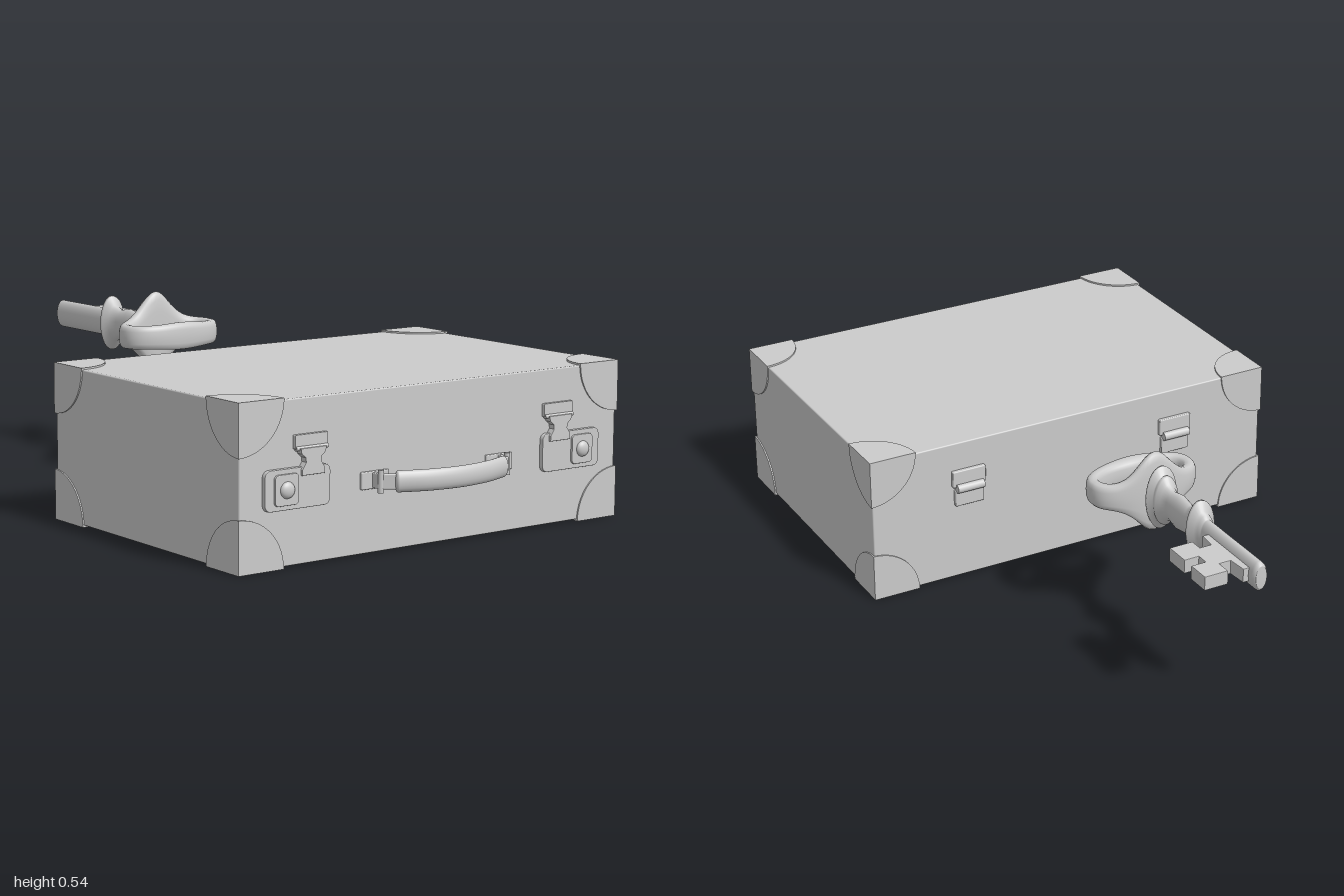
import * as THREE from 'three';
import { RoundedBoxGeometry } from 'three/addons/geometries/RoundedBoxGeometry.js';

const mat = new THREE.MeshStandardMaterial({ color: 0xcccccc });

function add(parent, name, geo, x = 0, y = 0, z = 0) {
  const m = new THREE.Mesh(geo, mat);
  m.name = name;
  m.position.set(x, y, z);
  parent.add(m);
  return m;
}

function group(parent, name) {
  const g = new THREE.Group();
  g.name = name;
  parent.add(g);
  return g;
}

const box = (w, h, d, r = 0.003) => new RoundedBoxGeometry(w, h, d, 2, r);

function polygon(pts) {
  return new THREE.Shape(pts.map(([x, y]) => new THREE.Vector2(x, y)));
}

function plate(shape, depth) {
  return new THREE.ExtrudeGeometry(shape, {
    depth, curveSegments: 12, bevelEnabled: true, bevelThickness: 0.002, bevelSize: 0.002, bevelSegments: 2, bevelOffset: -0.002,
  });
}

function roundedRect(w, h, r) {
  const s = new THREE.Shape(), x = w / 2 - r, y = h / 2 - r;
  s.absarc(x, y, r, 0, Math.PI / 2);
  s.absarc(-x, y, r, Math.PI / 2, Math.PI);
  s.absarc(-x, -y, r, Math.PI, Math.PI * 1.5);
  s.absarc(x, -y, r, Math.PI * 1.5, Math.PI * 2);
  return s;
}

// Quarter disc filling the quadrant given by two signs
function quarterDisc(sa, sb, r, depth) {
  const pts = [[0, 0]];
  for (let i = 0; i <= 14; i++) {
    const t = (i / 14) * Math.PI / 2;
    pts.push([sa * r * Math.cos(t), sb * r * Math.sin(t)]);
  }
  const g = new THREE.ExtrudeGeometry(polygon(pts), { depth, bevelEnabled: false });
  return g.translate(0, 0, -depth / 2);
}

// Case and its eight corner guards
function buildCase(root) {
  const g = group(root, 'case');
  const cy = 0.2175, cz = 0.4545;
  add(g, 'caseBody', box(1.272, 0.425, 0.851, 0.004), 0, cy, cz);
  const hx = 0.64, hy = 0.2175, hz = 0.4295, r = 0.14, d = 0.01;
  for (const sx of [-1, 1]) for (const sy of [-1, 1]) for (const sz of [-1, 1]) {
    const c = group(g, 'cornerGuard');
    c.position.set(sx * hx, cy + sy * hy, cz + sz * hz);
    add(c, 'guardFront', quarterDisc(-sx, -sy, r, d), 0, 0, -sz * d / 2);
    add(c, 'guardSide', quarterDisc(sz, -sy, r, d).rotateY(Math.PI / 2), -sx * d / 2, 0, 0);
    add(c, 'guardFlat', quarterDisc(-sx, -sz, r, d).rotateX(Math.PI / 2), 0, -sy * d / 2, 0);
  }
}

// Latch with push button and hasp; s is the side
function buildLatch(root, s) {
  const g = group(root, 'latch');
  add(g, 'latchPlate', plate(roundedRect(0.205, 0.105, 0.018), 0.012), s * 0.4625, 0.204, 0.878);
  add(g, 'latchInset', plate(roundedRect(0.075, 0.08, 0.012), 0.008), s * 0.5, 0.204, 0.888);
  const button = new THREE.SphereGeometry(0.022, 24, 10, 0, Math.PI * 2, 0, Math.PI / 2).rotateX(Math.PI / 2).scale(1, 1, 0.6);
  add(g, 'latchButton', button, s * 0.5, 0.204, 0.897);
  add(g, 'haspPlate', plate(roundedRect(0.104, 0.036, 0.003), 0.01), s * 0.418, 0.32, 0.878);
  const half = [[0.041, 0.304], [0.038, 0.29], [0.026, 0.28], [0.024, 0.268], [0.036, 0.25], [0.036, 0.235]];
  const neck = polygon([...half, ...half.map(([x, y]) => [-x, y]).reverse()]);
  add(g, 'haspNeck', plate(neck, 0.018), s * 0.418, 0, 0.879);
  const knuckle = new THREE.CylinderGeometry(0.006, 0.006, 0.1, 12).rotateZ(Math.PI / 2);
  add(g, 'haspKnuckle', knuckle, s * 0.418, 0.303, 0.889);
}

// Curved carrying handle with its mounts
function buildHandle(root) {
  const g = group(root, 'handle'), y = 0.196;
  const path = new THREE.CatmullRomCurve3([[-0.178, 0.938], [-0.1, 0.966], [0, 0.979], [0.1, 0.966], [0.178, 0.938]]
    .map(([x, z]) => new THREE.Vector3(x, 0, z)));
  add(g, 'handleGrip', new THREE.TubeGeometry(path, 40, 0.015, 20).scale(1, 1.9, 1), 0, y, 0);
  for (const s of [-1, 1]) {
    const cap = new THREE.SphereGeometry(0.015, 20, 12).scale(0.6, 1.9, 1);
    add(g, 'gripEnd', cap, s * 0.178, y, 0.938).rotation.y = s * 0.36;
    const strap = add(g, 'handleStrap', box(0.06, 0.04, 0.012), s * 0.196, y, 0.925);
    strap.rotation.y = s * 0.62;
    add(g, 'mountPlate', box(0.09, 0.046, 0.01), s * 0.21, y, 0.882);
    add(g, 'mountPost', box(0.016, 0.04, 0.034), s * 0.213, y, 0.898);
    add(g, 'mountPin', new THREE.CylinderGeometry(0.008, 0.008, 0.06, 14), s * 0.214, y, 0.913);
  }
}

// Rear hinge
function buildHinge(root, s) {
  const g = group(root, 'hinge'), x = s * 0.338;
  add(g, 'upperLeaf', box(0.104, 0.05, 0.014), x, 0.321, 0.024);
  add(g, 'lowerLeaf', box(0.09, 0.05, 0.014), x, 0.261, 0.024);
  add(g, 'hingeBarrel', new THREE.CylinderGeometry(0.013, 0.013, 0.084, 16).rotateZ(Math.PI / 2), x, 0.293, 0.015);
}

// Oval bow: an upright band that rises to a crest where it meets the stem
function bowGeometry() {
  const n = 96, m = 16, pos = [], idx = [];
  const pw = (v, e) => Math.sign(v) * Math.abs(v) ** e;
  for (let i = 0; i < n; i++) {
    const t = (i / n) * Math.PI * 2, c = pw(Math.cos(t), 0.85), sn = pw(Math.sin(t), 0.85);
    const bell = Math.exp(-((0.143 * c / 0.065) ** 2));
    const h = 0.035 + (sn < 0 ? 0.085 : 0.006) * bell;
    for (let j = 0; j < m; j++) {
      const s = (j / m) * Math.PI * 2, k = pw(Math.cos(s), 0.7);
      const ridge = sn > 0 && k < 0 ? 0.008 * bell * k : 0;
      pos.push((0.143 + 0.019 * k) * c, h * pw(Math.sin(s), 0.7), (0.068 + 0.019 * k + ridge) * sn);
      const a = i * m + j, b = i * m + (j + 1) % m;
      const p = ((i + 1) % n) * m + j, q = ((i + 1) % n) * m + (j + 1) % m;
      idx.push(a, b, p, b, q, p);
    }
  }
  const geo = new THREE.BufferGeometry();
  geo.setAttribute('position', new THREE.Float32BufferAttribute(pos, 3));
  geo.setIndex(idx);
  geo.computeVertexNormals();
  return geo;
}

// Key floating behind the case, taller than it is wide
function buildKey(root) {
  const g = group(root, 'key');
  g.position.set(0.02, 0.417, 0);
  add(g, 'keyBow', bowGeometry(), 0, 0, -0.393);
  const profile = [[0, 0.46], [0.03, 0.47], [0.03, 0.485], [0.046, 0.495], [0.047, 0.504], [0.034, 0.512], [0.037, 0.522],
    [0.036, 0.53], [0.028, 0.54], [0.022, 0.56], [0.026, 0.6], [0.022, 0.65], [0.028, 0.682], [0.041, 0.695], [0.042, 0.705],
    [0.028, 0.715], [0.026, 0.728], [0.021, 0.735], [0.021, 0.74], [0.021, 0.985], [0.0205, 0.993], [0.017, 0.999], [0.016, 1], [0, 1]];
  const stem = new THREE.LatheGeometry(profile.map(([r, y]) => new THREE.Vector2(r, y)), 32);
  add(g, 'keyStem', stem.rotateX(-Math.PI / 2).scale(1, 2, 1));
  // Bit outline: x across, then distance along the stem
  const bit = polygon([[0.01, 0.77], [0.036, 0.77], [0.04, 0.82], [0.074, 0.82], [0.074, 0.783], [0.143, 0.783], [0.143, 0.857],
    [0.1, 0.857], [0.1, 0.89], [0.143, 0.89], [0.143, 0.957], [0.074, 0.957], [0.074, 0.915], [0.04, 0.915], [0.036, 0.97], [0.01, 0.97]]);
  add(g, 'keyBit', plate(bit, 0.036).translate(0, 0, -0.018).rotateX(-Math.PI / 2));
}

export function createModel() {
  const root = new THREE.Group();
  root.name = 'suitcaseAndKey';
  buildCase(root);
  for (const s of [-1, 1]) {
    buildLatch(root, s);
    buildHinge(root, s);
  }
  buildHandle(root);
  buildKey(root);
  return root;
}
